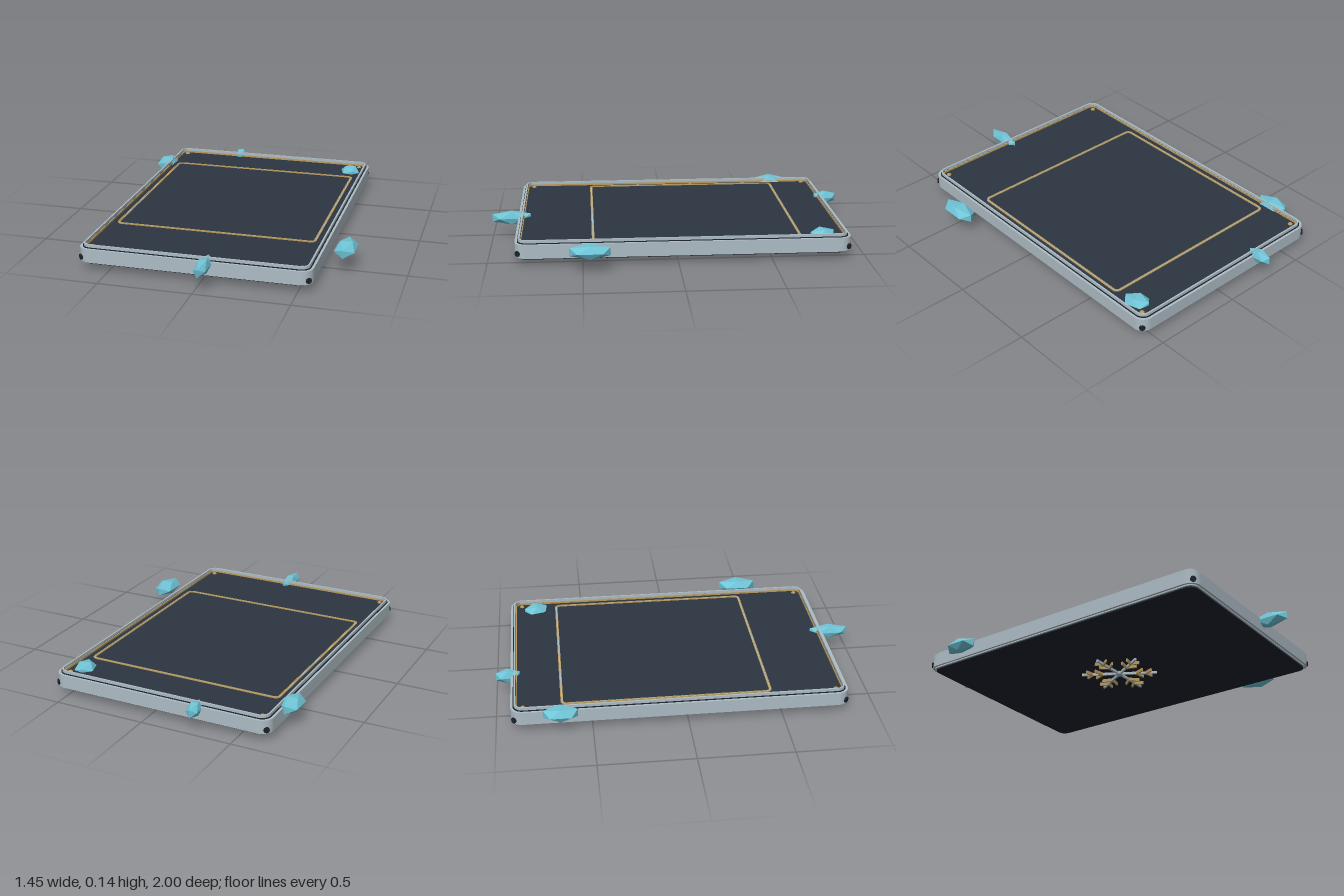
import * as THREE from 'three';

const mat = (name, color) => Object.assign(new THREE.MeshStandardMaterial({ color }), { name });

// Rounded rectangle outline, centred on the origin
function roundedRect(path, w, d, r) {
  const x = w / 2, y = d / 2;
  path.moveTo(-x + r, -y);
  path.lineTo(x - r, -y);
  path.absarc(x - r, -y + r, r, -Math.PI / 2, 0);
  path.absarc(x - r, y - r, r, 0, Math.PI / 2);
  path.absarc(-x + r, y - r, r, Math.PI / 2, Math.PI);
  path.absarc(-x + r, -y + r, r, Math.PI, Math.PI * 1.5);
  return path;
}

// Flat slab or ring lying in the xz plane between heights y0 and y1
function slab(w, d, r, y0, y1, wall = 0) {
  const shape = roundedRect(new THREE.Shape(), w, d, r);
  if (wall) shape.holes.push(roundedRect(new THREE.Path(), w - 2 * wall, d - 2 * wall, Math.max(r - wall, 0.004)));
  const g = new THREE.ExtrudeGeometry(shape, { depth: y1 - y0, bevelEnabled: false, curveSegments: 5 });
  return g.rotateX(-Math.PI / 2).translate(0, y0, 0);
}

export function createModel() {
  const silver = mat('silver', 0xadbcc4);
  const slate = mat('slate', 0x2c3542);
  const dark = mat('darkSeam', 0x1d222b);
  const gold = mat('gold', 0xb89a5e);
  const ice = mat('ice', 0x6fc4d6);
  ice.flatShading = true;

  const model = new THREE.Group();
  const add = (parent, name, geo, material, x = 0, y = 0, z = 0) => {
    const m = new THREE.Mesh(geo, material);
    m.name = name;
    m.position.set(x, y, z);
    parent.add(m);
    return m;
  };

  const tablet = new THREE.Group();
  tablet.name = 'tablet';
  tablet.position.set(-0.047, 0, -0.033);
  model.add(tablet);

  // Stepped shell: base plate, outer frame, seam and raised rim
  const W = 1.235, D = 1.775;
  add(tablet, 'basePlate', slab(W - 0.04, D - 0.04, 0.045, 0.032, 0.041), dark);
  add(tablet, 'baseStep', slab(W - 0.022, D - 0.022, 0.05, 0.038, 0.046), silver);
  add(tablet, 'outerFrame', slab(W, D, 0.06, 0.045, 0.117, 0.03), silver);
  add(tablet, 'frameSeam', slab(W - 0.026, D - 0.026, 0.05, 0.115, 0.121, 0.02), dark);
  add(tablet, 'raisedRim', slab(W - 0.036, D - 0.036, 0.047, 0.117, 0.136, 0.009), silver);
  add(tablet, 'panel', slab(W - 0.05, D - 0.05, 0.04, 0.046, 0.112), slate);

  // Fine inlaid borders
  add(tablet, 'goldBorder', slab(W - 0.058, D - 0.058, 0.036, 0.112, 0.122, 0.005), gold);
  const windowTrim = new THREE.Group();
  windowTrim.name = 'windowTrim';
  windowTrim.position.z = -0.072;
  tablet.add(windowTrim);
  add(windowTrim, 'windowOuterLine', slab(1.108, 1.112, 0.03, 0.112, 0.117, 0.005), gold);
  add(windowTrim, 'windowMiddleLine', slab(1.098, 1.102, 0.026, 0.112, 0.115, 0.005), silver);
  add(windowTrim, 'windowInnerLine', slab(1.088, 1.092, 0.022, 0.112, 0.117, 0.004), gold);

  // Gold studs on the panel and dark bolts in the frame corners
  const studGeo = new THREE.SphereGeometry(0.014, 8, 6);
  const boltGeo = new THREE.CylinderGeometry(0.016, 0.016, 0.02, 8).rotateX(Math.PI / 2);
  for (const sx of [-1, 1]) for (const sz of [-1, 1]) {
    add(tablet, 'cornerStud', studGeo, gold, sx * 0.558, 0.113, sz * 0.823).scale.y = 0.6;
    const bolt = add(tablet, 'cornerBolt', boltGeo, dark, sx * 0.598, 0.066, sz * 0.868);
    bolt.rotation.y = Math.atan2(sx, sz);
  }

  // Six-armed snowflake floating beneath the base
  const flake = new THREE.Group();
  flake.name = 'snowflake';
  flake.position.y = 0.009;
  tablet.add(flake);
  const bar = (len, w, h) => new THREE.BoxGeometry(len, h, w).translate(len / 2, 0, 0);
  const armGeo = bar(0.213, 0.011, 0.014);
  for (let i = 0; i < 6; i++) {
    const arm = new THREE.Group();
    arm.name = 'snowflakeArm';
    arm.rotation.y = i * Math.PI / 3;
    flake.add(arm);
    add(arm, 'armBar', armGeo, silver);
    for (const [x, len] of [[0.095, 0.06], [0.15, 0.05]]) for (const s of [-1, 1]) {
      add(arm, 'armBranch', bar(len, 0.009, 0.018), gold, x).rotation.y = s * Math.PI / 3.6;
    }
  }
  add(flake, 'snowflakeHub', new THREE.CylinderGeometry(0.022, 0.022, 0.018, 6), silver);

  // Ice crystals around the edge: x, z, half width, half length, turn
  const crystals = [
    [-0.27, -0.935, 0.031, 0.065, 0.08],
    [-0.675, -0.665, 0.052, 0.09, 0],
    [0.47, -0.775, 0.052, 0.068, 0.3],
    [0.672, 0.463, 0.053, 0.106, 0],
    [0.026, 0.893, 0.032, 0.107, 0],
  ];
  const crystalGeo = new THREE.IcosahedronGeometry(1 / 0.8507, 0);
  for (const [x, z, hw, hl, turn] of crystals) {
    const c = add(model, 'iceCrystal', crystalGeo, ice, x, 0.108, z);
    c.scale.set(hw, 0.035, hl);
    c.rotation.y = turn;
  }
  return model;
}
